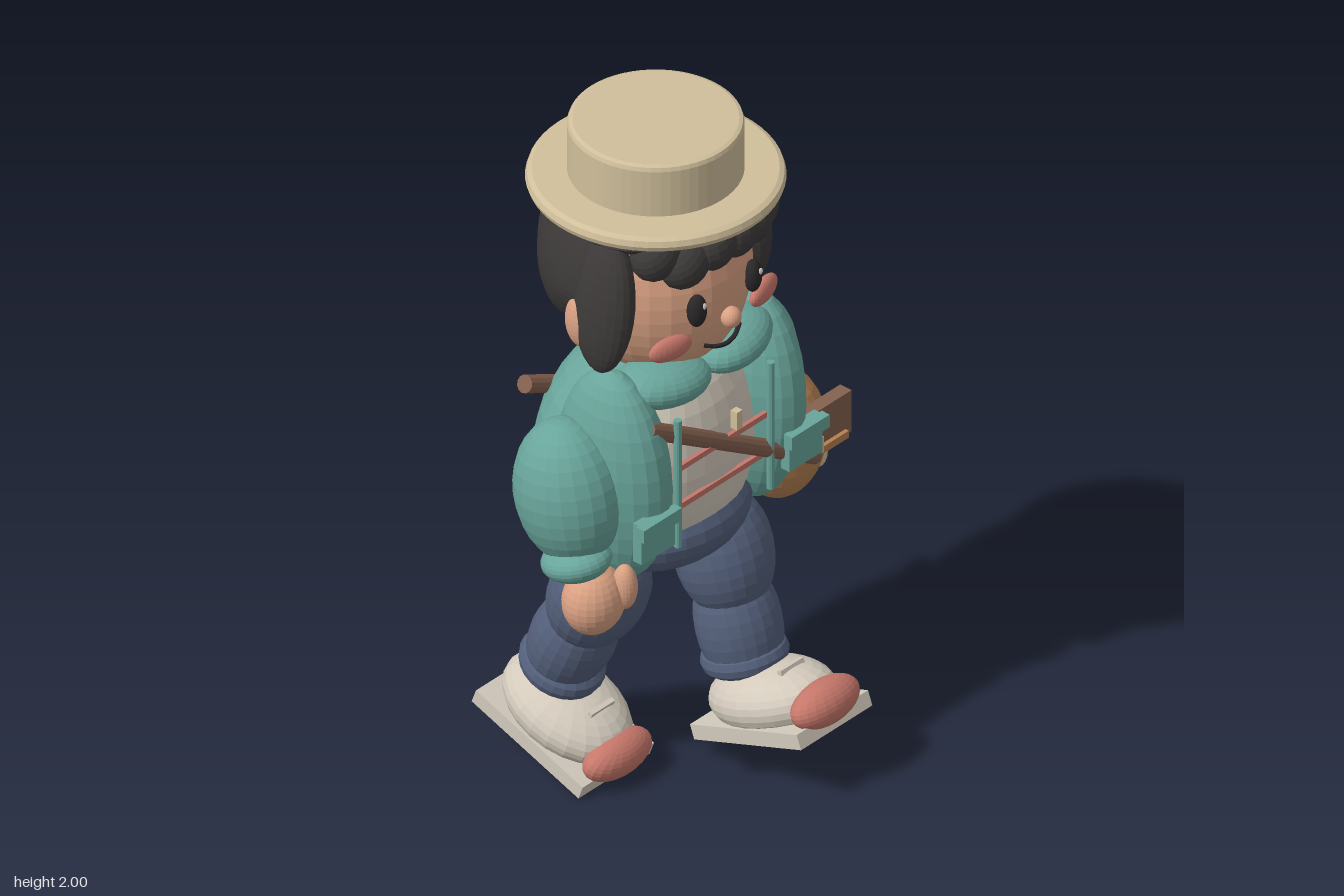
import * as THREE from 'three';

const M = {};
for (const [name, hex] of Object.entries({
  straw: 0xd0bf9b, teal: 0x69a59b, denim: 0x54607b, skin: 0xdba283, cream: 0xd3cabc,
  strapBrown: 0x84614f, bagTan: 0xb58152, hairDark: 0x3e3a3a, pink: 0xc6776a, ink: 0x2a2728,
})) {
  M[name] = new THREE.MeshStandardMaterial({ color: hex });
  M[name].name = name;
}
M.hairDark.side = THREE.DoubleSide;

// Adds one mesh with faceted normals
function add(parent, name, geo, mat, pos = [0, 0, 0], rot = [0, 0, 0]) {
  const g = geo.index ? geo.toNonIndexed() : geo;
  g.computeVertexNormals();
  const m = new THREE.Mesh(g, mat);
  m.name = name;
  m.position.set(...pos);
  m.rotation.set(...rot);
  parent.add(m);
  return m;
}
const ball = (p, name, mat, pos, r, rot, w = 22, h = 16) =>
  add(p, name, new THREE.SphereGeometry(1, w, h).scale(...r), mat, pos, rot);
const box = (p, name, mat, pos, size, rot) => add(p, name, new THREE.BoxGeometry(...size), mat, pos, rot);
function rod(p, name, mat, a, b, r) {
  const A = new THREE.Vector3(...a), B = new THREE.Vector3(...b);
  const m = add(p, name, new THREE.CylinderGeometry(r, r, A.distanceTo(B), 12), mat);
  m.position.copy(A).add(B).multiplyScalar(0.5);
  m.quaternion.setFromUnitVectors(new THREE.Vector3(0, 1, 0), B.sub(A).normalize());
  return m;
}
function group(parent, name) {
  const g = new THREE.Group();
  g.name = name;
  parent.add(g);
  return g;
}

function buildHat(root) {
  const profile = [[0, 1.8], [0.325, 1.8], [0.338, 1.806], [0.343, 1.82], [0.338, 1.836], [0.325, 1.843],
    [0.233, 1.845], [0.233, 1.985], [0.229, 1.996], [0.219, 2], [0, 2]].map(p => new THREE.Vector2(...p));
  add(root, 'hat', new THREE.LatheGeometry(profile, 56), M.straw, [-0.01, 0, -0.067]);
}

// Head: a ball with fuller, straighter cheeks and jaw
function faceGeometry() {
  const geo = new THREE.SphereGeometry(1, 28, 20);
  const p = geo.attributes.position;
  for (let i = 0; i < p.count; i++) {
    const k = Math.pow(Math.max(Math.hypot(p.getX(i), p.getZ(i)), 0.01), -0.3);
    p.setX(i, p.getX(i) * k);
    p.setZ(i, p.getZ(i) * k);
  }
  return geo.scale(0.257, 0.285, 0.261);
}

// Shell behind the head, tucked into the brim, its hem dropping towards the nape
function backHairGeometry() {
  const geo = new THREE.SphereGeometry(1, 22, 14, Math.PI * 0.93, Math.PI * 1.14, 0.95, 1.18).scale(0.308, 0.38, 0.295);
  const p = geo.attributes.position;
  for (let i = 0; i < p.count; i++)
    if (p.getY(i) < 0) p.setY(i, p.getY(i) * (0.52 + 2.1 * Math.max(0, -p.getZ(i))));
  return geo;
}

function buildHead(root) {
  const g = group(root, 'head');
  g.position.x = -0.012;
  add(g, 'face', faceGeometry(), M.skin, [0, 1.56, -0.07]);
  add(g, 'backHair', backHairGeometry(), M.hairDark, [0, 1.6, -0.08]);
  ball(g, 'hairBand', M.hairDark, [0, 1.765, -0.03], [0.285, 0.058, 0.21], undefined, 28, 10);
  for (const s of [-1, 1]) {
    ball(g, 'sideLock', M.hairDark, [s * 0.268, 1.58, -0.005], [0.058, 0.21, 0.095], [0, 0, s * 0.1]);
    ball(g, 'ear', M.skin, [s * 0.29, 1.505, -0.068], [0.035, 0.08, 0.048]);
    ball(g, 'eye', M.ink, [s * 0.11, 1.556, 0.178], [0.028, 0.049, 0.024], [0, s * 0.3, 0]);
    ball(g, 'eyeGlint', M.cream, [s * 0.11 + 0.006, 1.576, 0.2], [0.007, 0.01, 0.005], undefined, 8, 6);
    ball(g, 'cheek', M.pink, [s * 0.183, 1.46, 0.15], [0.067, 0.036, 0.022], [0, s * 0.25, 0]);
  }
  ball(g, 'nose', M.skin, [0, 1.49, 0.2], [0.029, 0.03, 0.027]);
  const smile = new THREE.CatmullRomCurve3([[-0.072, 1.42, 0.165], [-0.035, 1.407, 0.182],
    [0, 1.403, 0.187], [0.035, 1.408, 0.182], [0.072, 1.42, 0.165]].map(p => new THREE.Vector3(...p)));
  add(g, 'mouth', new THREE.TubeGeometry(smile, 16, 0.0065, 6), M.ink);
  // Swept fringe of chunky curls: x, y, z, tilt
  for (const [x, y, z, tilt] of [[-0.165, 1.725, 0.085, 0.6], [-0.1, 1.685, 0.125, 0.5], [-0.015, 1.705, 0.142, 0.2],
    [0.07, 1.7, 0.14, -0.1], [0.145, 1.69, 0.12, -0.3], [0.21, 1.685, 0.085, -0.4], [0.25, 1.72, 0.04, -0.3]])
    ball(g, 'fringeCurl', M.hairDark, [x, y, z], [0.08, 0.073, 0.066], [0, 0, tilt], 16, 12);
}

function buildTorso(root) {
  const g = group(root, 'torso');
  ball(g, 'jacketBack', M.teal, [-0.005, 1.0, -0.1], [0.362, 0.335, 0.247], undefined, 28, 16);
  ball(g, 'shirt', M.cream, [-0.01, 1.0, 0], [0.27, 0.325, 0.165], undefined, 28, 16);
  ball(g, 'hips', M.denim, [-0.005, 0.78, -0.06], [0.27, 0.142, 0.224], undefined, 28, 14);
  for (const s of [-1, 1]) {
    const x = v => s * v - 0.008;
    ball(g, 'jacketFront', M.teal, [x(0.262), 1.045, 0.02], [0.115, 0.325, 0.18], [0, 0, s * -0.03]);
    ball(g, 'collar', M.teal, [x(0.135), 1.3, 0.075], [0.142, 0.064, 0.1], [0, s * 0.25, s * 0.08]);
    rod(g, 'jacketPiping', M.teal, [x(0.182), 0.84, 0.172], [x(0.182), 1.24, 0.172], 0.011);
    box(g, 'pocket', M.teal, [x(0.29), 0.94, 0.185], [0.13, 0.12, 0.03]);
    box(g, 'pocketFlap', M.teal, [x(0.29), 0.98, 0.203], [0.148, 0.04, 0.028]);
  }
  for (const y of [1.075, 0.955])
    box(g, 'shirtStripe', M.pink, [-0.01, y, 0.162], [0.35, 0.017, 0.012]);
  box(g, 'shirtTag', M.straw, [0.02, 1.146, 0.19], [0.022, 0.055, 0.022]);
  rod(g, 'strapFront', M.strapBrown, [-0.275, 1.238, 0.142], [0.355, 0.848, 0.165], 0.025);
  rod(g, 'strapBack', M.strapBrown, [-0.295, 1.205, -0.273], [0.365, 0.88, -0.273], 0.025);
}

function buildArms(root) {
  const r = group(root, 'rightArm');
  ball(r, 'sleeve', M.teal, [-0.393, 1.03, -0.03], [0.14, 0.21, 0.153], [-0.15, 0, 0]);
  ball(r, 'cuff', M.teal, [-0.424, 0.85, 0.025], [0.094, 0.055, 0.098], [-0.25, 0, 0]);
  ball(r, 'hand', M.skin, [-0.395, 0.727, 0.06], [0.092, 0.1, 0.08]);
  ball(r, 'thumb', M.skin, [-0.34, 0.765, 0.12], [0.034, 0.068, 0.035]);
  const l = group(root, 'leftArm');
  ball(l, 'sleeve', M.teal, [0.38, 1.025, -0.1], [0.132, 0.21, 0.142], [0.17, 0, 0]);
  ball(l, 'cuff', M.teal, [0.398, 0.86, -0.175], [0.1, 0.052, 0.085], [0.35, 0, 0]);
  ball(l, 'hand', M.skin, [0.385, 0.715, -0.17], [0.088, 0.095, 0.068]);
  ball(l, 'thumb', M.skin, [0.335, 0.75, -0.12], [0.032, 0.06, 0.034]);
}

function buildBag(root) {
  const g = group(root, 'bag');
  ball(g, 'bagBody', M.bagTan, [0.395, 0.83, 0], [0.135, 0.195, 0.127]);
  box(g, 'bagFlap', M.strapBrown, [0.428, 0.895, 0.125], [0.188, 0.13, 0.04]);
  box(g, 'bagTrim', M.bagTan, [0.425, 0.838, 0.15], [0.145, 0.022, 0.014]);
  box(g, 'bagClasp', M.straw, [0.375, 0.86, 0.154], [0.04, 0.05, 0.014]);
  ball(g, 'bagCharm', M.straw, [0.5, 0.73, 0.045], [0.028, 0.046, 0.026], undefined, 14, 10);
}

// A leg leaning along its path, with a pitched shoe
function buildLeg(root, name, x, thigh, shin, cuff, lean, foot, pitch) {
  const g = group(root, name);
  ball(g, 'thigh', M.denim, [x, ...thigh], [0.14, 0.19, 0.13], [lean, 0, 0]);
  ball(g, 'shin', M.denim, [x, ...shin], [0.121, 0.185, 0.114], [lean, 0, 0]);
  add(g, 'trouserCuff', new THREE.TorusGeometry(0.093, 0.027, 10, 24).rotateX(Math.PI / 2).scale(1, 1.25, 1),
    M.denim, [x, ...cuff], [lean, 0, 0]);
  const s = group(g, 'shoe');
  s.position.set(x, ...foot);
  s.rotation.x = pitch;
  box(s, 'sole', M.cream, [0, 0, 0], [0.28, 0.044, 0.4]);
  ball(s, 'upper', M.cream, [0, 0.062, -0.005], [0.146, 0.096, 0.2]);
  ball(s, 'toeCap', M.pink, [0, 0.053, 0.184], [0.12, 0.062, 0.06]);
  box(s, 'lace', M.cream, [0, 0.147, 0.09], [0.09, 0.014, 0.014]);
}

export function createModel() {
  const root = new THREE.Group();
  root.name = 'walkingFigure';
  buildHat(root);
  buildHead(root);
  buildTorso(root);
  buildArms(root);
  buildBag(root);
  buildLeg(root, 'leftLeg', 0.164, [0.58, 0.015], [0.375, 0.068], [0.283, 0.09], -0.28, [0.145, 0.218], -0.35);
  buildLeg(root, 'rightLeg', -0.185, [0.57, -0.11], [0.385, -0.2], [0.287, -0.238], 0.42, [0.092, -0.237], 0.35);
  return root;
}
